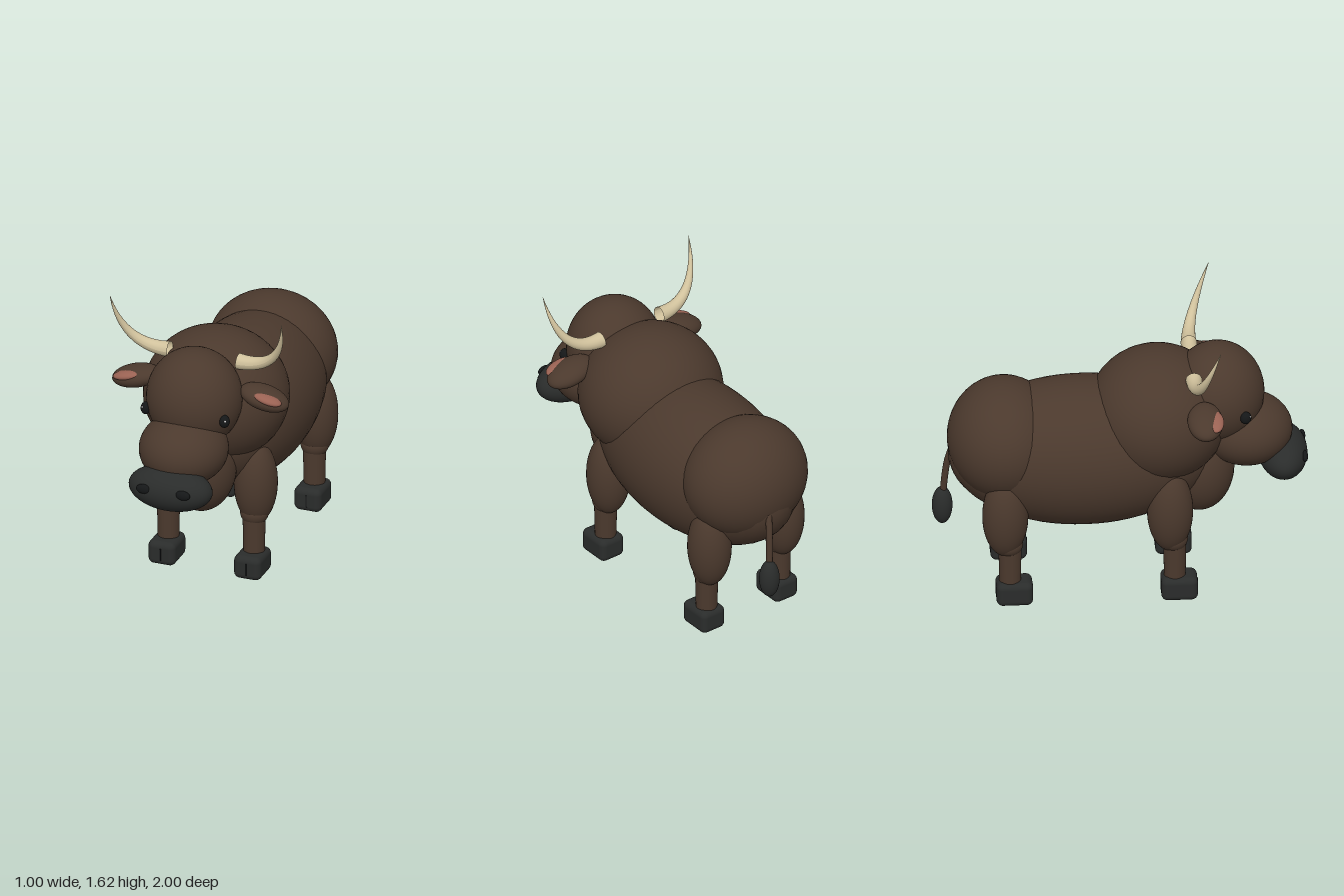
import * as THREE from 'three';
import { RoundedBoxGeometry } from 'three/addons/geometries/RoundedBoxGeometry.js';

const paint = (color, side = THREE.FrontSide) => new THREE.MeshStandardMaterial({ color, side });

export function createModel() {
  const model = new THREE.Group();
  const hide = paint(0x4b392d);
  const dark = paint(0x2a2c2b);
  const black = paint(0x151718);
  const white = paint(0xffffff);
  const pink = paint(0x9a6253);
  const horn = paint(0xd0c19c, THREE.DoubleSide);

  const add = (name, geometry, material, pos = [0, 0, 0], parent = model) => {
    const mesh = new THREE.Mesh(geometry, material);
    mesh.name = name;
    mesh.position.set(...pos);
    parent.add(mesh);
    return mesh;
  };
  const ball = new THREE.SphereGeometry(1, 40, 28);
  const ellipsoid = (name, material, pos, radii, parent) => {
    const mesh = add(name, ball, material, pos, parent);
    mesh.scale.set(...radii);
    return mesh;
  };

  // Torso
  ellipsoid('barrel', hide, [0, 0.78, -0.2], [0.387, 0.41, 0.72]);
  ellipsoid('shoulders', hide, [0, 0.99, 0.2], [0.395, 0.365, 0.38]);
  ellipsoid('rump', hide, [0, 0.87, -0.62], [0.355, 0.325, 0.305]);
  ellipsoid('dewlap', hide, [0, 0.66, 0.42], [0.19, 0.26, 0.19]);

  // Head
  ellipsoid('skull', hide, [0, 1.11, 0.52], [0.26, 0.275, 0.25]);
  ellipsoid('muzzle', hide, [0, 0.877, 0.675], [0.24, 0.192, 0.245]);
  ellipsoid('nose', dark, [0, 0.728, 0.867], [0.235, 0.123, 0.132]);

  // Horn: tube tapered to a point along its curve
  const hornGeometry = (s) => {
    const curve = new THREE.QuadraticBezierCurve3(
      new THREE.Vector3(0.195 * s, 1.292, 0.38),
      new THREE.Vector3(0.465 * s, 1.275, 0.38),
      new THREE.Vector3(0.49 * s, 1.615, 0.505));
    const rows = 28, sides = 20;
    const geo = new THREE.TubeGeometry(curve, rows, 0.044, sides);
    const p = geo.attributes.position, v = new THREE.Vector3();
    for (let i = 0; i < p.count; i++) {
      const t = Math.floor(i / (sides + 1)) / rows;
      const c = curve.getPointAt(t);
      v.fromBufferAttribute(p, i).sub(c).multiplyScalar(1 - 0.98 * t).add(c);
      p.setXYZ(i, v.x, v.y, v.z);
    }
    geo.computeVertexNormals();
    return geo;
  };

  for (const s of [1, -1]) {
    const side = s > 0 ? 'left' : 'right';
    ellipsoid(side + 'Nostril', black, [0.112 * s, 0.752, 0.978], [0.042, 0.027, 0.018]);
    ellipsoid(side + 'Eye', black, [0.225 * s, 1.065, 0.655], [0.028, 0.035, 0.03]);
    ellipsoid(side + 'EyeGlint', white, [0.237 * s, 1.077, 0.678], [0.006, 0.006, 0.006]);
    add(side + 'Horn', hornGeometry(s), horn);

    // Ear, drooping slightly outward
    const ear = new THREE.Group();
    ear.name = side + 'Ear';
    ear.position.set(0.365 * s, 1.13, 0.43);
    ear.rotation.z = -0.24 * s;
    model.add(ear);
    ellipsoid('earShell', hide, [0, 0, 0], [0.14, 0.06, 0.095], ear);
    ellipsoid('earLining', pink, [0.03 * s, 0.027, 0.052], [0.082, 0.024, 0.045], ear);
  }

  // Legs
  const shinGeometry = new THREE.CylinderGeometry(0.062, 0.057, 0.26, 28);
  const hoofGeometry = new RoundedBoxGeometry(0.155, 0.135, 0.195, 5, 0.034);
  for (const [end, z] of [['front', 0.25], ['hind', -0.63]]) {
    for (const s of [1, -1]) {
      const leg = new THREE.Group();
      leg.name = end + (s > 0 ? 'LeftLeg' : 'RightLeg');
      leg.position.set(0.245 * s, 0, z);
      model.add(leg);
      ellipsoid('upperLeg', hide, [0, 0.525, 0], [0.117, 0.24, 0.123], leg);
      ellipsoid('knee', hide, [0, 0.355, 0.02], [0.077, 0.072, 0.075], leg);
      add('shin', shinGeometry, hide, [0, 0.22, 0.025], leg);
      add('hoof', hoofGeometry, dark, [0, 0.0675, 0.048], leg);
      add('hoofCleft', new THREE.BoxGeometry(0.006, 0.07, 0.01), black, [0, 0.065, 0.143], leg);
    }
  }

  // Tail
  const tailCurve = new THREE.CatmullRomCurve3([
    new THREE.Vector3(0.04, 0.86, -0.87),
    new THREE.Vector3(0.065, 0.7, -0.918),
    new THREE.Vector3(0.085, 0.45, -0.945)]);
  add('tail', new THREE.TubeGeometry(tailCurve, 20, 0.018, 14), hide);
  ellipsoid('tailTuft', dark, [0.085, 0.415, -0.945], [0.055, 0.11, 0.055]);

  return model;
}
